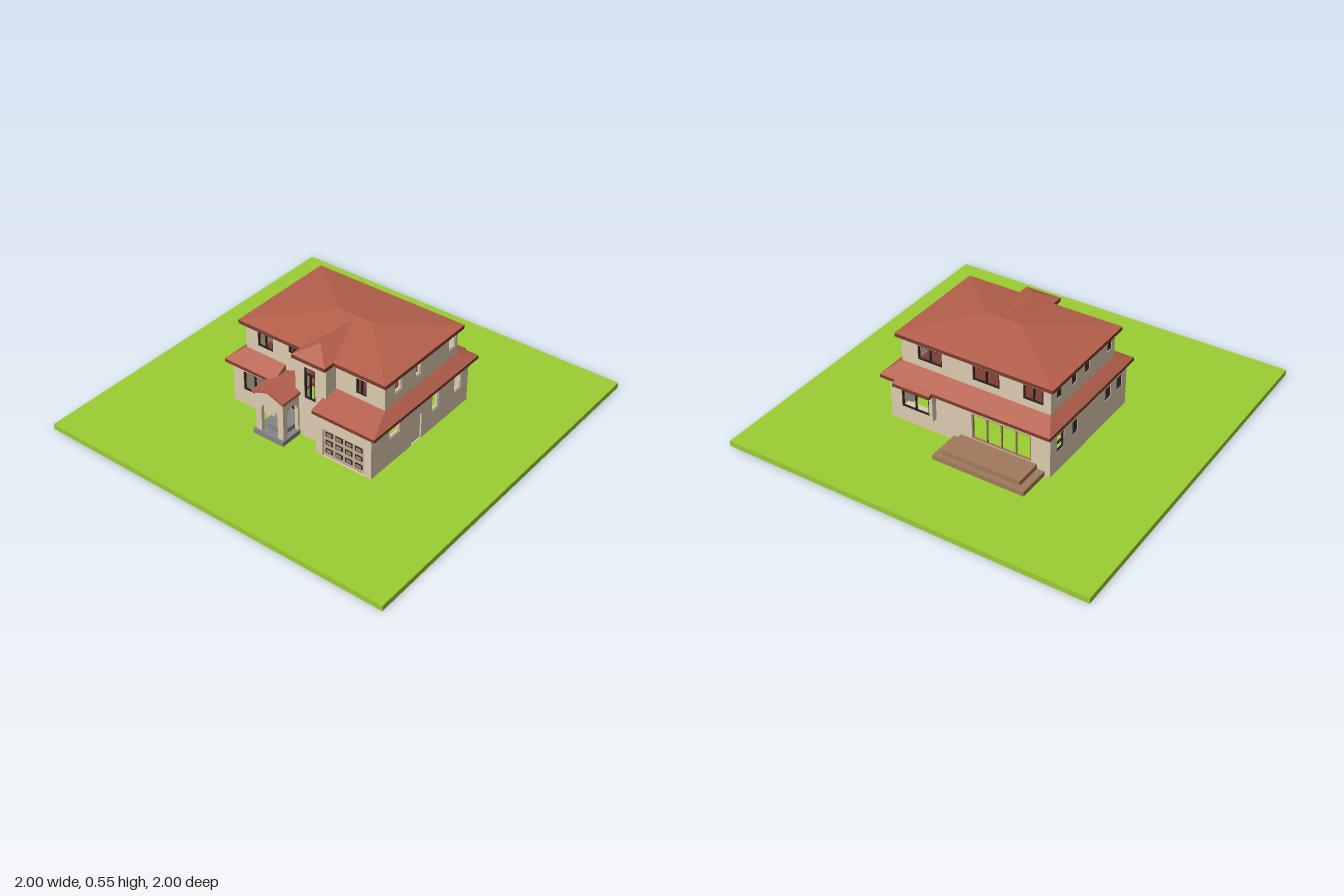
import * as THREE from 'three';

const COLORS = { grass: 0x9acd32, wall: 0xdccbb0, roof: 0xb5604b, fascia: 0x7d3c30, dark: 0x2a2422,
  stone: 0x858585, deck: 0xa07a5c, garage: 0xc2ab94, pane: 0x9a8878 };

export function createModel() {
  const model = new THREE.Group();
  const mats = {};
  for (const k in COLORS) mats[k] = new THREE.MeshStandardMaterial({ color: COLORS[k], flatShading: true });

  function add(parent, name, geo, color) {
    const mesh = new THREE.Mesh(geo, mats[color]);
    mesh.name = name;
    parent.add(mesh);
    return mesh;
  }

  // box given by its limits
  function box(parent, name, color, x0, x1, y0, y1, z0, z1) {
    const g = new THREE.BoxGeometry(x1 - x0, y1 - y0, z1 - z0);
    g.translate((x0 + x1) / 2, (y0 + y1) / 2, (z0 + z1) / 2);
    return add(parent, name, g, color);
  }

  // rectangle or round-headed outline
  function outline(P, c, y, w, h, arch) {
    const p = new P(), r = w / 2, top = arch ? y + h - r : y + h;
    p.moveTo(c - r, y).lineTo(c + r, y).lineTo(c + r, top);
    if (arch) p.absarc(c, top, r, 0, Math.PI, false);
    else p.lineTo(c - r, top);
    p.closePath();
    return p;
  }

  // wall facing front, back, left (+x) or right (-x), from a to b along its run, with openings
  // opening: { c: centre, y: bottom, w, h, cols, rows, arch, frame }
  function wall(name, face, pos, a, b, y0, y1, openings = [], t = 0.02, gable = 0) {
    const side = face === 'left' || face === 'right';
    const d = face === 'front' || face === 'left' ? 1 : -1, s = side ? -1 : 1;
    const g = new THREE.Group();
    g.name = name;
    if (side) g.rotation.y = Math.PI / 2;
    const lo = Math.min(s * a, s * b), hi = Math.max(s * a, s * b);
    const shape = new THREE.Shape();
    shape.moveTo(lo, y0).lineTo(hi, y0).lineTo(hi, y1);
    if (gable) shape.lineTo((lo + hi) / 2, y1 + gable);
    shape.lineTo(lo, y1).closePath();
    for (const o of openings) shape.holes.push(outline(THREE.Path, s * o.c, o.y, o.w, o.h, o.arch));
    const geo = new THREE.ExtrudeGeometry(shape, { depth: t, bevelEnabled: false, curveSegments: 12 });
    geo.translate(0, 0, d > 0 ? pos - t : pos);
    add(g, name + 'Panel', geo, 'wall');
    // frames and glazing bars
    for (const o of openings) {
      if (!o.cols) continue;
      const f = 0.006, z = pos - d * 0.008, c = s * o.c, col = o.frame || 'dark';
      const rows = o.rows || 1;
      for (let i = 0; i <= o.cols; i++) {
        const x = c - o.w / 2 + f / 2 + (o.w - f) * i / o.cols;
        box(g, 'windowBar', col, x - f / 2, x + f / 2, o.y, o.y + o.h, z - 0.005, z + 0.005);
      }
      for (let j = 0; j <= rows; j++) {
        const y = o.y + f / 2 + (o.h - f) * j / rows;
        box(g, 'windowBar', col, c - o.w / 2, c + o.w / 2, y - f / 2, y + f / 2, z - 0.005, z + 0.005);
      }
    }
    model.add(g);
    return g;
  }
  const win = (c, y, w, h, cols = 1, rows = 1, frame = 'dark') => ({ c, y, w, h, cols, rows, frame });
  const arch = (c, y, w, h) => ({ c, y, w, h, arch: true });

  // skin between two matching loops of [x, z], counterclockwise from above
  function loft(name, color, low, yLow, high, yHigh, caps) {
    const v = [], n = low.length;
    const tri = (...pts) => pts.forEach(([p, y]) => v.push(p[0], y, p[1]));
    for (let i = 0; i < n; i++) {
      const j = (i + 1) % n;
      tri([low[i], yLow], [low[j], yLow], [high[j], yHigh]);
      tri([low[i], yLow], [high[j], yHigh], [high[i], yHigh]);
    }
    if (caps) {
      const flat = low.map(p => new THREE.Vector2(p[0], -p[1]));
      for (const [a, b, c] of THREE.ShapeUtils.triangulateShape(flat, [])) {
        tri([low[a], yLow], [low[c], yLow], [low[b], yLow]);
        tri([high[a], yHigh], [high[b], yHigh], [high[c], yHigh]);
      }
    }
    const g = new THREE.BufferGeometry();
    g.setAttribute('position', new THREE.Float32BufferAttribute(v, 3));
    g.computeVertexNormals();
    add(model, name, g, color);
  }
  // sloped roof over a dark eave board
  function roof(name, low, high, y0, y1, y2) {
    loft(name + 'Eave', 'fascia', low, y0, low, y1, true);
    loft(name, 'roof', low, y1, high, y2, false);
  }
  const rect = (x0, x1, z0, z1) => [[x0, z0], [x0, z1], [x1, z1], [x1, z0]];

  // lawn
  box(model, 'lawn', 'grass', -1, 1, 0, 0.03, -1, 1);

  // ground floor walls
  const G = 0.03, T = 0.275;
  wall('lowerFrontWall', 'front', 0.30, -0.44, -0.16, G, T, [win(-0.305, 0.12, 0.14, 0.11, 2)]);
  wall('entryReturn', 'left', -0.16, 0.24, 0.30, G, T);
  wall('entryWall', 'front', 0.24, -0.16, -0.03, G, T, [win(-0.09, 0.08, 0.066, 0.15)]);
  wall('bayLowerWall', 'front', 0.315, -0.03, 0.155, G, 0.25);
  wall('bayLowerSide', 'right', -0.03, 0.24, 0.315, G, 0.25);
  wall('garageReturn', 'right', 0.145, 0.315, 0.38, G, T);
  wall('garageWall', 'front', 0.38, 0.145, 0.47, G, T, [{ c: 0.307, y: 0.032, w: 0.245, h: 0.16 }]);
  wall('lowerLeftWall', 'left', 0.47, -0.41, 0.38, G, T, [
    win(0.2, 0.18, 0.085, 0.05, 1, 1, 'wall'), { c: 0.022, y: 0.032, w: 0.08, h: 0.15 },
    win(-0.13, 0.135, 0.055, 0.095, 1, 1, 'wall'), win(-0.32, 0.14, 0.06, 0.09, 1, 1, 'wall')]);
  wall('lowerRightWall', 'right', -0.44, -0.41, 0.30, G, T, [
    win(-0.32, 0.14, 0.065, 0.09, 1, 2), win(-0.19, 0.15, 0.045, 0.075, 2),
    win(0.12, 0.16, 0.05, 0.07, 2, 2), win(0.23, 0.16, 0.05, 0.07, 2, 2)]);
  wall('lowerBackWall', 'back', -0.41, -0.44, 0.47, G, T, [
    win(-0.17, 0.082, 0.33, 0.145, 4, 1, 'deck'), { c: 0.3, y: 0.14, w: 0.16, h: 0.095 }]);
  wall('backBayWindow', 'back', -0.44, 0.2, 0.405, 0.115, T, [win(0.3, 0.14, 0.16, 0.095, 2)], 0.03);

  // side door and garage door with rows of small panes
  box(model, 'sideDoor', 'wall', 0.452, 0.462, G, 0.182, -0.018, 0.062);
  box(model, 'garageDoor', 'garage', 0.185, 0.43, G, 0.192, 0.362, 0.372);
  for (let i = 0; i < 4; i++) for (let j = 0; j < 3; j++) {
    const x = 0.22 + i * 0.058, y = 0.068 + j * 0.049;
    box(model, 'garagePaneFrame', 'dark', x - 0.021, x + 0.021, y - 0.013, y + 0.013, 0.37, 0.375);
    box(model, 'garagePane', 'pane', x - 0.015, x + 0.015, y - 0.008, y + 0.008, 0.37, 0.377);
  }

  // upper floor walls
  const U = 0.27, V = 0.48;
  wall('upperFrontWallA', 'front', 0.24, -0.40, -0.03, U, V,
    [win(-0.278, 0.37, 0.095, 0.085, 2), win(-0.1, 0.413, 0.062, 0.038, 2)]);
  wall('upperFrontWallB', 'front', 0.24, 0.155, 0.44, U, V, [win(0.303, 0.36, 0.06, 0.085, 2)]);
  const bay = wall('bayUpperWall', 'front', 0.315, -0.03, 0.155, 0.25, V, [win(0.057, 0.26, 0.066, 0.18, 1)]);
  box(bay, 'transom', 'dark', 0.025, 0.09, 0.397, 0.403, 0.302, 0.312);
  box(bay, 'mullion', 'dark', 0.054, 0.06, 0.26, 0.4, 0.302, 0.312);
  wall('bayLeftSide', 'left', 0.155, 0.24, 0.315, 0.25, V);
  wall('bayRightSide', 'right', -0.03, 0.24, 0.315, 0.25, V);
  wall('upperLeftWall', 'left', 0.44, -0.345, 0.24, U, V,
    [0.138, -0.02, -0.298].map(z => win(z, 0.385, z === -0.02 ? 0.042 : 0.055, 0.07, 1, 1, 'wall')));
  wall('upperRightWall', 'right', -0.40, -0.345, 0.24, U, V,
    [-0.27, -0.14, -0.02, 0.19].map(z => win(z, 0.39, 0.042, 0.055, 2, 2)));
  wall('upperBackWall', 'back', -0.345, -0.40, 0.44, U, V,
    [win(0.275, 0.37, 0.14, 0.08, 2), win(-0.045, 0.37, 0.15, 0.08, 2), win(-0.305, 0.37, 0.11, 0.08, 2)]);

  // skirt roof around the ground floor
  roof('lowerRoof',
    [[-0.46, -0.45], [-0.46, 0.335], [-0.15, 0.335], [-0.15, 0.23], [0.135, 0.23], [0.135, 0.40], [0.5, 0.40], [0.5, -0.45]],
    [[-0.40, -0.345], [-0.40, 0.24], [-0.15, 0.24], [-0.15, 0.23], [0.135, 0.23], [0.135, 0.24], [0.44, 0.24], [0.44, -0.345]],
    0.27, 0.288, 0.333);
  roof('backBayRoof', rect(0.195, 0.41, -0.472, -0.40), rect(0.195, 0.41, -0.40, -0.40), 0.262, 0.28, 0.308);

  // hipped main roof and the hipped roof over the front bay
  roof('mainRoof', rect(-0.425, 0.46, -0.37, 0.265), rect(-0.04, 0.14, -0.05, -0.05), 0.473, 0.493, 0.546);
  roof('bayRoof', rect(-0.04, 0.16, -0.05, 0.33), rect(0.055, 0.055, -0.05, 0.23), 0.473, 0.493, 0.542);

  // arched entry porch
  wall('porchFront', 'front', 0.435, -0.18, -0.01, 0.05, 0.27, [arch(-0.095, 0.052, 0.1, 0.178)], 0.02, 0.04);
  wall('porchRightSide', 'right', -0.18, 0.29, 0.435, 0.05, 0.27, [arch(0.362, 0.052, 0.09, 0.17)]);
  wall('porchLeftSide', 'left', -0.01, 0.30, 0.435, 0.05, 0.27, [arch(0.365, 0.052, 0.08, 0.17)]);
  const gable = new THREE.Shape();
  gable.moveTo(-0.195, 0.268).lineTo(-0.0975, 0.305).lineTo(0, 0.268).lineTo(0, 0.283)
    .lineTo(-0.0975, 0.322).lineTo(-0.195, 0.283).closePath();
  const gableGeo = new THREE.ExtrudeGeometry(gable, { depth: 0.21, bevelEnabled: false });
  gableGeo.translate(0, 0, 0.235);
  add(model, 'porchRoof', gableGeo, 'roof');
  box(model, 'porchStep', 'stone', -0.19, -0.005, G, 0.056, 0.24, 0.447);
  box(model, 'entryStep', 'stone', -0.14, -0.035, 0.056, 0.08, 0.24, 0.40);

  // stepped back deck
  box(model, 'deckLower', 'deck', -0.41, 0.10, G, 0.055, -0.59, -0.41);
  box(model, 'deckUpper', 'deck', -0.37, 0.06, 0.055, 0.08, -0.56, -0.41);

  return model;
}
